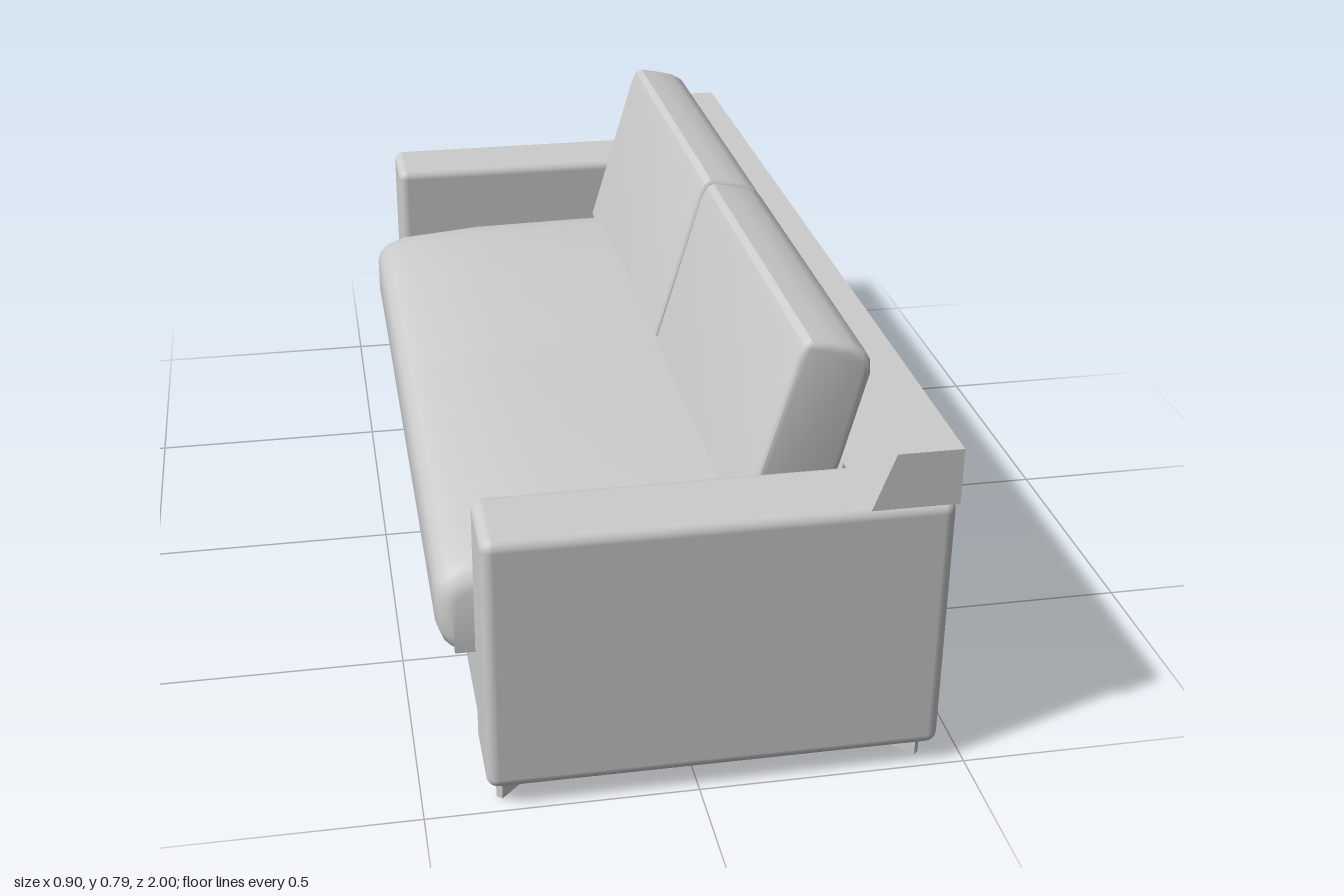
import * as THREE from 'three';
import { toCreasedNormals } from 'three/addons/utils/BufferGeometryUtils.js';
import { RoundedBoxGeometry } from 'three/addons/geometries/RoundedBoxGeometry.js';

const grey = new THREE.MeshStandardMaterial({ color: 0xcccccc });
const greyOpen = new THREE.MeshStandardMaterial({ color: 0xcccccc, side: THREE.DoubleSide });

function add(group, name, geometry, x = 0, y = 0, z = 0, material = grey) {
  const mesh = new THREE.Mesh(geometry, material);
  mesh.name = name;
  mesh.position.set(x, y, z);
  group.add(mesh);
  return mesh;
}

// Extrude an x-y side profile along z, centred on z = 0
function sideExtrude(points, width, bevel = 0) {
  const shape = new THREE.Shape(points.map(([x, y]) => new THREE.Vector2(x, y)));
  const geo = new THREE.ExtrudeGeometry(shape, {
    depth: width - 2 * bevel, bevelEnabled: bevel > 0, bevelSize: bevel,
    bevelThickness: bevel, bevelOffset: -bevel, bevelSegments: 3,
  });
  geo.translate(0, 0, -width / 2 + bevel);
  return toCreasedNormals(geo, 0.6);
}

// Crowned seat shell, open below: one side profile lofted across z
function seatGeometry() {
  const base = 0.222;
  const profile = [[-0.37, base], [-0.42, base], [-0.44, 0.24], [-0.45, 0.27], [-0.45, 0.355],
    [-0.443, 0.38], [-0.425, 0.4], [-0.385, 0.417], [-0.2, 0.435], [0.05, 0.44], [0.44, 0.44]];
  // z, height scale, front inset
  const half = [[0, 0.985, 0], [0.06, 1, 0], [0.5, 1, 0], [0.7, 0.97, 0], [0.77, 0.91, 0],
    [0.795, 0.86, 0.004], [0.812, 0.78, 0.014], [0.82, 0.7, 0.03], [0.82, 0, 0.03]];
  const stations = [...half.slice(1).reverse().map(([z, s, i]) => [-z, s, i]), ...half];
  const pos = [], index = [], n = profile.length;
  stations.forEach(([z, s, inset], j) => {
    profile.forEach(([x, y], i) => {
      pos.push(x < -0.38 ? x + inset : x, base + (y - base) * s, z);
      if (j && i) {
        const a = (j - 1) * n + i - 1, b = a + n;
        index.push(a, b, a + 1, b, b + 1, a + 1);
      }
    });
  });
  const geo = new THREE.BufferGeometry();
  geo.setAttribute('position', new THREE.Float32BufferAttribute(pos, 3));
  geo.setIndex(index);
  return toCreasedNormals(geo, 0.9);
}

export function createModel() {
  const sofa = new THREE.Group();
  sofa.name = 'sofa';

  add(sofa, 'seat', seatGeometry(), 0, 0, 0, greyOpen);
  add(sofa, 'frontPanel', new THREE.BoxGeometry(0.012, 0.19, 1.65), -0.37, 0.135, 0);
  add(sofa, 'backPanel', new THREE.BoxGeometry(0.012, 0.515, 1.65), 0.441, 0.2975, 0);

  // Backrest core between the arms and the full-width rail on top
  add(sofa, 'backrest', sideExtrude([[0.25, 0.41], [0.44, 0.41], [0.44, 0.553], [0.29, 0.553]], 1.65));
  add(sofa, 'backRail', sideExtrude([[0.29, 0.553], [0.449, 0.553], [0.449, 0.66], [0.33, 0.66]], 2));

  const cushion = sideExtrude([[0.1, 0.42], [0.25, 0.42], [0.29, 0.545], [0.336, 0.72], [0.335, 0.745],
    [0.325, 0.763], [0.3, 0.778], [0.26, 0.788], [0.225, 0.794], [0.211, 0.787], [0.2, 0.765]], 0.808, 0.014);
  const arm = new RoundedBoxGeometry(0.835, 0.512, 0.17, 4, 0.022);
  const leg = new THREE.BoxGeometry(0.064, 0.05, 0.014);

  for (const side of [1, -1]) {
    const label = side > 0 ? 'Left' : 'Right';
    add(sofa, 'backCushion' + label, cushion, 0, 0, side * 0.411);
    add(sofa, 'arm' + label, arm, 0.0325, 0.296, side * 0.91);

    // Thin plate legs set diagonally, pointing to the middle
    for (const [x, end] of [[-0.338, -1], [0.398, 1]]) {
      const plate = add(sofa, (end < 0 ? 'frontLeg' : 'backLeg') + label, leg, x, 0.025, side * 0.938);
      plate.rotation.y = -side * end * Math.PI / 4;
    }
  }
  return sofa;
}
